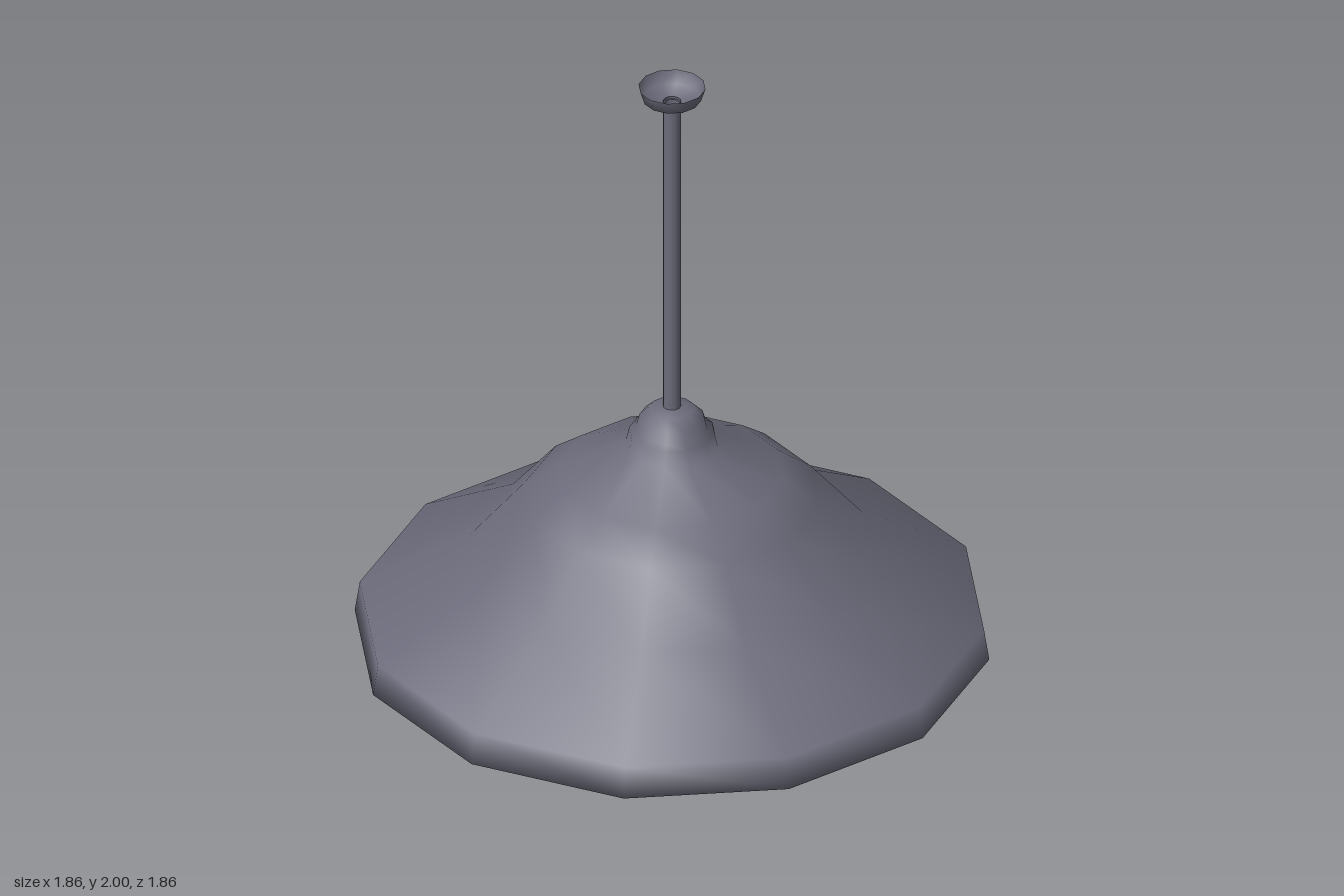
import * as THREE from 'three';

const SIDES = 12;
const FLAT = Math.cos(Math.PI / SIDES); // flat-to-corner ratio of a 12-sided ring

// Smooth 12-sided turned part; radii are measured to the middle of each flat
function turned(name, profile, material) {
  const points = profile.map(([r, y]) => new THREE.Vector2(r / FLAT, y));
  const mesh = new THREE.Mesh(
    new THREE.LatheGeometry(points, SIDES, Math.PI / SIDES), material);
  mesh.name = name;
  return mesh;
}

// Inner wall of an upward profile, set in by the wall thickness
function inset(profile, thickness) {
  return profile.map(([r, y], i) => {
    const a = profile[Math.max(i - 1, 0)];
    const b = profile[Math.min(i + 1, profile.length - 1)];
    const length = Math.hypot(b[0] - a[0], b[1] - a[1]);
    return [
      Math.max(r - thickness * (b[1] - a[1]) / length, 0.022),
      y + thickness * (b[0] - a[0]) / length,
    ];
  });
}

export function createModel() {
  const lamp = new THREE.Group();
  lamp.name = 'pendantLamp';
  const metal = new THREE.MeshStandardMaterial({ color: 0x6b6b7b, side: THREE.DoubleSide });
  const glow = new THREE.MeshStandardMaterial({ color: 0xf8e294 });

  // Open bell shade with an inward-turned lip, a stepped cap and a thin wall
  const bell = [
    [0.81, 0.031], [0.93, 0.08], [0.915, 0.18], [0.59, 0.378],
    [0.43, 0.575], [0.33, 0.652], [0.135, 0.75], [0.125, 0.797],
    [0.105, 0.808], [0.095, 0.845], [0.065, 0.875], [0.022, 0.883],
  ];
  lamp.add(turned('shade', bell, metal));
  lamp.add(turned('shadeLining', inset(bell, 0.012).reverse(), metal));

  // Hollow hanging rod
  lamp.add(turned('rod', [[0.026, 0.87], [0.026, 1.95]], metal));

  // Open ceiling canopy
  lamp.add(turned('canopy', [[0.022, 1.942], [0.085, 1.958], [0.098, 2]], metal));

  // Coarse round bulb, slightly off centre
  const bulb = turned('bulb', [
    [0, 0.004], [0.137, 0.068], [0.19, 0.212], [0.137, 0.356], [0, 0.418],
  ], glow);
  bulb.position.x = -0.03;
  lamp.add(bulb);

  return lamp;
}
